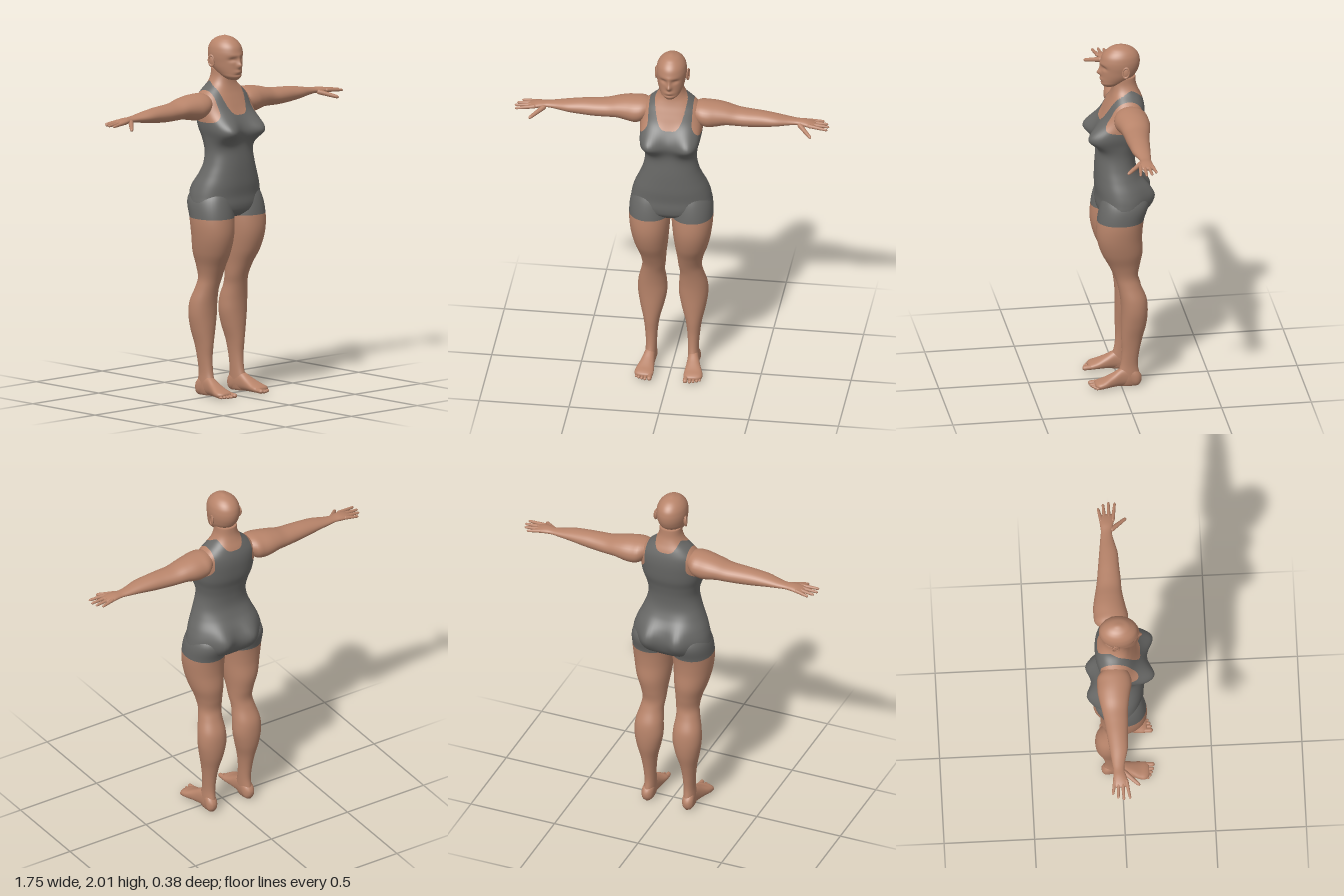
import * as THREE from 'three';

const skin = new THREE.MeshStandardMaterial({ color: 0xb8846a });
skin.name = 'skin';
const suit = new THREE.MeshStandardMaterial({ color: 0x686866 });
suit.name = 'suit grey';

const AXIS = { x: 0, y: 1, z: 2 };
const gauss = (d) => Math.exp(-d * d);

// Loft of superellipses. Rows are [s, aMin, aMax, bMin, bMax]; axes such as 'yxz' name s, a and b.
function loft(rows, axes, { segs = 40, steps = 60, power = 2, mirror = 1, rule = null } = {}) {
  const [s, a, b] = [...axes].map((c) => AXIS[c]);
  const spline = new THREE.CubicInterpolant(rows.map((r) => r[0]), rows.flatMap((r) => r.slice(1)), 4);
  const s0 = rows[0][0], s1 = rows[rows.length - 1][0];
  const pos = [], idx = [];
  const add = (sv, av, bv, rel) => {
    const p = [0, 0, 0];
    p[s] = sv; p[a] = av; p[b] = bv;
    if (rule) rule(p, rel);
    p[0] *= mirror;
    pos.push(...p);
  };
  const bend = (v) => Math.sign(v) * Math.abs(v) ** (2 / power);
  for (let i = 0; i <= steps; i++) {
    const sv = s0 + (s1 - s0) * i / steps;
    const [a0, a1, b0, b1] = Array.from(spline.evaluate(sv));
    for (let j = 0; j < segs; j++) {
      const t = j / segs * Math.PI * 2, cb = bend(Math.sin(t));
      add(sv, (a0 + a1) / 2 + bend(Math.cos(t)) * (a1 - a0) / 2, (b0 + b1) / 2 + cb * (b1 - b0) / 2, cb);
    }
  }
  for (const r of [rows[0], rows[rows.length - 1]]) add(r[0], (r[1] + r[2]) / 2, (r[3] + r[4]) / 2, 0);
  const end = (steps + 1) * segs;
  for (let j = 0; j < segs; j++) {
    const k = (j + 1) % segs, top = steps * segs;
    for (let i = 0; i < steps; i++) {
      const o = i * segs, q = o + segs;
      idx.push(o + j, q + j, q + k, o + j, q + k, o + k);
    }
    idx.push(end, j, k, end + 1, top + k, top + j);
  }
  // Turn the faces outward
  let vol = 0;
  const v = (i) => new THREE.Vector3().fromArray(pos, i * 3);
  for (let i = 0; i < idx.length; i += 3) vol += v(idx[i]).dot(v(idx[i + 1]).cross(v(idx[i + 2])));
  if (vol < 0) idx.reverse();
  const geo = new THREE.BufferGeometry();
  geo.setAttribute('position', new THREE.Float32BufferAttribute(pos, 3));
  geo.setIndex(idx);
  geo.computeVertexNormals();
  return geo;
}

// Positive where the bodysuit covers the body: hem, neckline and armholes
function suitEdge(x, y, z) {
  const ax = Math.abs(x);
  const scoop = THREE.MathUtils.lerp(1.69, 1.57, THREE.MathUtils.smoothstep(z, -0.07, 0));
  const neckline = scoop + 0.16 * (ax / 0.092) ** 4 - y;
  const armhole = 0.122 + 11 * Math.max(0, 1.6 - y) ** 2 - ax;
  return Math.min(y - 1, neckline, armhole);
}

// Cut the triangles along the suit edge and make one group for each colour
function dress(geo) {
  const g = geo.toNonIndexed(), P = g.attributes.position.array, N = g.attributes.normal.array;
  const pos = [], nor = [], out = new THREE.BufferGeometry();
  [1, -1].forEach((side, m) => {
    const start = pos.length / 3;
    for (let i = 0; i < P.length; i += 9) {
      const tri = [0, 3, 6].map((o) => {
        const p = [...P.slice(i + o, i + o + 3)];
        return { v: [...p, ...N.slice(i + o, i + o + 3)], d: side * suitEdge(...p) };
      });
      const poly = [];
      tri.forEach((p, k) => {
        const q = tri[(k + 1) % 3];
        if (p.d >= 0) poly.push(p.v);
        if (p.d >= 0 !== q.d >= 0) poly.push(p.v.map((c, n) => c + (q.v[n] - c) * p.d / (p.d - q.d)));
      });
      for (let k = 1; k + 1 < poly.length; k++) {
        for (const c of [poly[0], poly[k], poly[k + 1]]) { pos.push(...c.slice(0, 3)); nor.push(...c.slice(3)); }
      }
    }
    out.addGroup(start, pos.length / 3 - start, m);
  });
  out.setAttribute('position', new THREE.Float32BufferAttribute(pos, 3));
  out.setAttribute('normal', new THREE.Float32BufferAttribute(nor, 3));
  return out;
}

// Tapered capsule from p to q, for fingers and toes
function digit(p, q, r, taper) {
  const a = new THREE.Vector3(...p), b = new THREE.Vector3(...q), len = a.distanceTo(b);
  const geo = new THREE.CapsuleGeometry(r, len - 2 * r, 6, 12, 4), at = geo.attributes.position;
  for (let i = 0; i < at.count; i++) {
    const k = 1 - taper * (at.getY(i) / len + 0.5);
    at.setXYZ(i, at.getX(i) * k, at.getY(i), at.getZ(i) * k);
  }
  geo.computeVertexNormals();
  geo.applyQuaternion(new THREE.Quaternion().setFromUnitVectors(new THREE.Vector3(0, 1, 0), b.clone().sub(a).normalize()));
  return geo.translate(...a.add(b).multiplyScalar(0.5).toArray());
}

// Symmetric rows [y, halfWidth, back, front]
const sym = (rows) => rows.map(([y, w, b, f]) => [y, -w, w, b, f]);

const TORSO = sym([
  [1.0, 0.13, -0.1, 0.08], [1.03, 0.2, -0.13, 0.115], [1.06, 0.222, -0.145, 0.125], [1.12, 0.22, -0.155, 0.125],
  [1.18, 0.203, -0.143, 0.13], [1.24, 0.177, -0.113, 0.13], [1.3, 0.155, -0.094, 0.128], [1.37, 0.143, -0.095, 0.122],
  [1.44, 0.152, -0.11, 0.112], [1.5, 0.167, -0.13, 0.105], [1.56, 0.174, -0.14, 0.098], [1.62, 0.174, -0.144, 0.08],
  [1.66, 0.163, -0.14, 0.063], [1.7, 0.125, -0.128, 0.045], [1.735, 0.085, -0.112, 0.034], [1.77, 0.066, -0.1, 0.03],
  [1.82, 0.06, -0.095, 0.03]]);

const HEAD = sym([
  [1.762, 0.028, 0.01, 0.084], [1.78, 0.05, -0.02, 0.096], [1.8, 0.062, -0.06, 0.097], [1.83, 0.074, -0.095, 0.096],
  [1.86, 0.08, -0.112, 0.096], [1.89, 0.084, -0.12, 0.097], [1.92, 0.083, -0.12, 0.095], [1.95, 0.075, -0.11, 0.083],
  [1.975, 0.057, -0.087, 0.058], [1.99, 0.036, -0.06, 0.034], [2.0, 0.008, -0.025, 0.0]]);

const LEG = [
  [0, 0.098, 0.142, -0.098, 0.02], [0.03, 0.09, 0.15, -0.108, 0.03], [0.07, 0.088, 0.15, -0.1, 0.02],
  [0.12, 0.087, 0.147, -0.092, 0.005], [0.2, 0.083, 0.152, -0.1, -0.003], [0.28, 0.072, 0.163, -0.117, 0],
  [0.37, 0.048, 0.183, -0.14, 0], [0.45, 0.033, 0.195, -0.147, 0], [0.52, 0.035, 0.192, -0.14, 0.005],
  [0.6, 0.042, 0.173, -0.108, 0.02], [0.65, 0.036, 0.165, -0.095, 0.036], [0.72, 0.03, 0.177, -0.105, 0.068],
  [0.8, 0.02, 0.204, -0.118, 0.11], [0.9, 0.01, 0.225, -0.115, 0.137], [1.0, 0.003, 0.233, -0.125, 0.135],
  [1.1, 0.005, 0.222, -0.15, 0.115], [1.16, 0.02, 0.19, -0.12, 0.09]];

const FOOT = [
  [-0.111, 0.108, 0.135, 0.022, 0.055], [-0.095, 0.093, 0.15, 0, 0.08], [-0.04, 0.088, 0.15, 0, 0.11],
  [0, 0.09, 0.155, 0, 0.103], [0.05, 0.088, 0.17, 0, 0.075], [0.1, 0.084, 0.187, 0, 0.05],
  [0.135, 0.086, 0.184, 0.002, 0.038], [0.15, 0.095, 0.165, 0.01, 0.03]];

const ARM = [
  [0.12, 1.6, 1.68, -0.1, 0.02], [0.16, 1.56, 1.69, -0.135, 0.045], [0.2, 1.545, 1.69, -0.14, 0.05],
  [0.25, 1.55, 1.685, -0.14, 0.04], [0.3, 1.56, 1.675, -0.132, 0.03], [0.36, 1.56, 1.66, -0.12, 0.022],
  [0.42, 1.56, 1.655, -0.11, 0.02], [0.5, 1.565, 1.65, -0.1, 0.015], [0.58, 1.575, 1.64, -0.09, 0.01],
  [0.66, 1.585, 1.625, -0.08, -0.01], [0.7, 1.588, 1.62, -0.075, -0.015], [0.74, 1.585, 1.62, -0.078, -0.005],
  [0.78, 1.585, 1.612, -0.08, 0.002], [0.8, 1.591, 1.605, -0.07, -0.01]];

// Bust and seat swell out of the torso
function torsoRule(p, rel) {
  const [x, y] = p;
  for (const s of [-1, 1]) {
    const bust = gauss((x - s * 0.1) / 0.08) * gauss((y - 1.485) / (y > 1.485 ? 0.075 : 0.06))
      * THREE.MathUtils.smoothstep(rel, 0, 0.6);
    p[2] += 0.09 * bust;
    p[0] += s * 0.02 * bust;
    p[2] -= 0.045 * gauss((x - s * 0.09) / 0.06) * gauss((y - 1.12) / 0.085) * THREE.MathUtils.smoothstep(-rel, 0, 0.6);
  }
}

// Nose, eye sockets, brow, lips and chin: [x, y, width, height, depth]
const FACE = [[0, 1.843, 0.013, 0.016, 0.02], [0, 1.868, 0.01, 0.022, 0.01], [0.034, 1.877, 0.02, 0.013, -0.01],
  [-0.034, 1.877, 0.02, 0.013, -0.01], [0, 1.9, 0.05, 0.012, 0.004], [0, 1.808, 0.022, 0.01, 0.006],
  [0, 1.79, 0.03, 0.006, -0.004]];
function faceRule(p, rel) {
  if (rel <= 0) return;
  const [x, y] = p;
  for (const [cx, cy, w, h, d] of FACE) p[2] += d * gauss((x - cx) / w) * gauss((y - cy) / h);
}

export function createModel() {
  const model = new THREE.Group();
  const add = (name, geo, mat = skin, parent = model) => {
    const mesh = new THREE.Mesh(geo, mat);
    mesh.name = name;
    parent.add(mesh);
    return mesh;
  };
  add('torso', dress(loft(TORSO, 'yxz', { segs: 72, steps: 100, power: 2.25, rule: torsoRule })), [suit, skin]);
  add('head', loft(HEAD, 'yxz', { segs: 96, steps: 90, rule: faceRule }));

  for (const m of [1, -1]) {
    const side = m > 0 ? 'left' : 'right';
    const part = (n) => side + n;
    add(part('Leg'), dress(loft(LEG, 'yxz', { steps: 90, power: 2.1, mirror: m })), [suit, skin]);
    add(part('Arm'), loft(ARM, 'xyz', { segs: 32, mirror: m }));

    // Foot with five toes
    const foot = new THREE.Group();
    foot.name = part('Foot');
    model.add(foot);
    add('footBody', loft(FOOT, 'zxy', { segs: 32, steps: 36, power: 2.3, mirror: m }), skin, foot);
    [[0.1, 0.183, 0.015], [0.124, 0.178, 0.011], [0.143, 0.171, 0.01], [0.161, 0.162, 0.01], [0.176, 0.15, 0.009]]
      .forEach(([x, z, r]) => add('toe', digit([m * x, r + 0.006, 0.1], [m * x, r, z], r, 0.15), skin, foot));

    // Fingers and thumb
    const hand = new THREE.Group();
    hand.name = part('Fingers');
    model.add(hand);
    [[-0.068, 0.842, -0.085], [-0.05, 0.866, -0.056], [-0.028, 0.876, -0.025], [-0.008, 0.87, 0.01]]
      .forEach(([z, tx, tz]) => add('finger', digit([m * 0.755, 1.602, z], [m * tx, 1.592, tz], 0.0115, 0.4), skin, hand));
    add('thumb', digit([m * 0.705, 1.6, -0.025], [m * 0.785, 1.568, 0.068], 0.015, 0.4), skin, hand);

    // Ear: shell and rim
    const ear = new THREE.Group();
    ear.name = part('Ear');
    ear.position.set(m * 0.084, 1.865, -0.032);
    ear.rotation.set(-0.15, m * -0.25, 0);
    model.add(ear);
    add('earShell', new THREE.SphereGeometry(1, 20, 14).scale(0.008, 0.03, 0.018), skin, ear);
    add('earRim', new THREE.TorusGeometry(0.018, 0.0045, 8, 24).rotateY(Math.PI / 2).scale(1, 1.6, 1), skin, ear)
      .position.x = m * 0.005;
  }
  return model;
}
